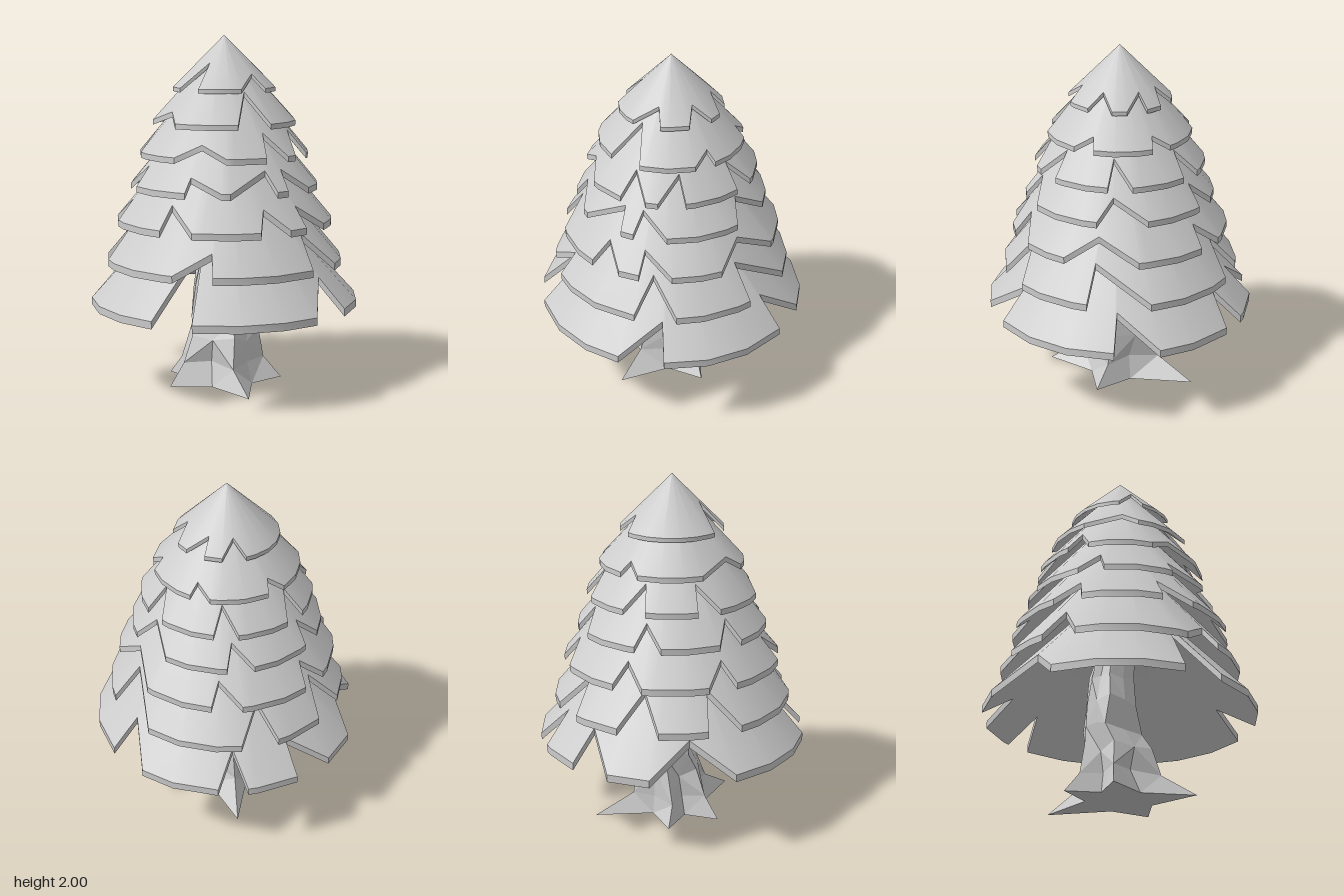
import * as THREE from 'three';
import { toCreasedNormals } from 'three/addons/utils/BufferGeometryUtils.js';

const RAD = Math.PI / 180;
const foliage = new THREE.MeshStandardMaterial({ color: 0xcccccc });
const bark = new THREE.MeshStandardMaterial({ color: 0xcccccc, flatShading: true });

// Small seeded generator, returns -1..1
function seeded(seed) {
  return () => {
    seed = (seed * 16807) % 2147483647;
    return (seed / 2147483647) * 2 - 1;
  };
}

function meshFrom(positions, material, name, crease) {
  let geo = new THREE.BufferGeometry();
  geo.setAttribute('position', new THREE.Float32BufferAttribute(positions, 3));
  geo.computeVertexNormals();
  if (crease) geo = toCreasedNormals(geo, crease);
  const mesh = new THREE.Mesh(geo, material);
  mesh.name = name;
  return mesh;
}

// Plan point: angle in degrees from the front (+z) towards +x
const polar = (a, r, y) => [Math.sin(a * RAD) * r, y, Math.cos(a * RAD) * r];

// Adds evenly spread, slightly uneven notches wherever a long stretch of rim is bare
function fillGaps(notches) {
  const rand = seeded(31);
  return notches.flatMap((notch, i) => {
    const from = notch[2];
    const to = i + 1 < notches.length ? notches[i + 1][0] : notches[0][0] + 360;
    const count = to - from > 120 ? Math.floor((to - from) / 60) : 0;
    const extra = Array.from({ length: count }, (_, k) => {
      const mid = from + ((to - from) * (k + 1)) / (count + 1) + rand() * 4;
      return [mid - 8, mid + rand() * 6, mid + 8];
    });
    return [notch, ...extra];
  });
}

// A conical skirt: outer cone, underside and the edge that follows the notches.
// Notches are [start, tip, end] angles; the first is cut to its own depth.
function makeTier(name, r, y, slope, firstCut, cut, notches) {
  const drop = 0.05 * r ** 0.6;
  const all = fillGaps(notches);
  const edge = [];
  all.forEach(([start, tip, end], i) => {
    edge.push([start, r], [tip, r * (i ? cut : firstCut)], [end, r]);
    const next = i + 1 < all.length ? all[i + 1][0] : all[0][0] + 360;
    for (let a = Math.ceil((end + 4) / 18) * 18; a < next - 4; a += 18) edge.push([a, r]);
  });
  const top = edge.map(([a, d]) => polar(a, d, y + (r - d) * slope));
  const low = top.map(([px, py, pz]) => [px, py - drop, pz]);
  const apex = [0, y + r * slope, 0];
  const under = [0, apex[1] - drop, 0];
  const pos = [];
  for (let i = 0; i < top.length; i++) {
    const j = (i + 1) % top.length;
    pos.push(...apex, ...top[i], ...top[j]);
    pos.push(...under, ...low[j], ...low[i]);
    pos.push(...top[i], ...low[i], ...low[j], ...top[i], ...low[j], ...top[j]);
  }
  return meshFrom(pos, foliage, name, 0.6);
}

// Faceted trunk: cross-sections alternate root ridges and valleys
function makeTrunk() {
  const rand = seeded(77);
  const roots = [[30, 0.425], [107, 0.335], [193, 0.48], [258, 0.35], [310, 0.355]];
  // height, ridge radius (0 = root length), valley radius, jitter
  const sections = [
    [0, 0, 0.19, 0],
    [0.13, 0.25, 0.16, 0.015],
    [0.27, 0.2, 0.155, 0.02],
    [0.4, 0.165, 0.15, 0.02],
    [0.54, 0.165, 0.14, 0.02],
    [0.7, 0.14, 0.12, 0.015],
    [0.9, 0.11, 0.09, 0.01],
    [1.1, 0.06, 0.05, 0],
  ];
  const rings = sections.map(([y, ridge, valley, jitter]) => {
    const lean = -0.035 * Math.sin((Math.PI * y) / 1.1);
    return roots.flatMap(([a, length], i) => {
      const next = i + 1 < roots.length ? roots[i + 1][0] : roots[0][0] + 360;
      return [[a, ridge || length], [(a + next) / 2, valley]].map(([angle, radius]) => {
        const [px, py, pz] = polar(angle + rand() * jitter * 400,
          radius + rand() * jitter, y + rand() * jitter * 1.5);
        return [px + lean, py, pz + lean];
      });
    });
  });
  const pos = [];
  const n = rings[0].length;
  for (let i = 0; i < n; i++) {
    const j = (i + 1) % n;
    pos.push(0, 0, 0, ...rings[0][j], ...rings[0][i]);
    for (let k = 0; k + 1 < rings.length; k++) {
      const a = rings[k][i], b = rings[k][j], c = rings[k + 1][j], d = rings[k + 1][i];
      if ((i + k) % 2) pos.push(...a, ...b, ...c, ...a, ...c, ...d);
      else pos.push(...a, ...b, ...d, ...b, ...c, ...d);
    }
  }
  return meshFrom(pos, bark, 'trunk');
}

export function createModel() {
  const tree = new THREE.Group();
  tree.name = 'pineTree';
  tree.add(makeTrunk());

  // Skirts from the ground up: rim radius, rim height, slope, first cut, other cuts
  tree.add(makeTier('bottomTier', 0.765, 0.51, 1.08, 0.52, 0.8,
    [[-19, -4, -1.5], [52, 70, 71.5], [128, 129, 147], [181.5, 188, 194], [216, 217, 234], [252, 270, 288]]));
  tree.add(makeTier('secondTier', 0.675, 0.745, 1.2, 0.86, 0.78,
    [[-13, 5, 6], [57, 64, 77], [115, 116, 145], [192, 203, 210], [235, 245, 255], [278, 282, 295]]));
  tree.add(makeTier('thirdTier', 0.615, 0.97, 1.2, 0.83, 0.85,
    [[-23, -22, -5], [30, 35, 47], [58, 59, 75], [101, 118, 140]]));
  tree.add(makeTier('fourthTier', 0.535, 1.17, 1.2, 0.88, 0.83,
    [[-12, -11, 10], [15, 41, 44], [52, 55, 72], [117, 126, 147]]));
  tree.add(makeTier('fifthTier', 0.48, 1.35, 1.2, 0.88, 0.78,
    [[-23, -5, 13], [40, 45, 58], [66, 81, 84]]));
  tree.add(makeTier('sixthTier', 0.405, 1.525, 1.1, 0.62, 0.87,
    [[22, 37, 50], [93, 107, 110], [285, 317, 330]]));
  tree.add(makeTier('topTier', 0.29, 1.71, 1, 0.52, 0.73,
    [[-46, -20, -18], [30, 57, 63], [94, 106, 122], [138, 159, 161], [180, 194, 206]]));
  return tree;
}
